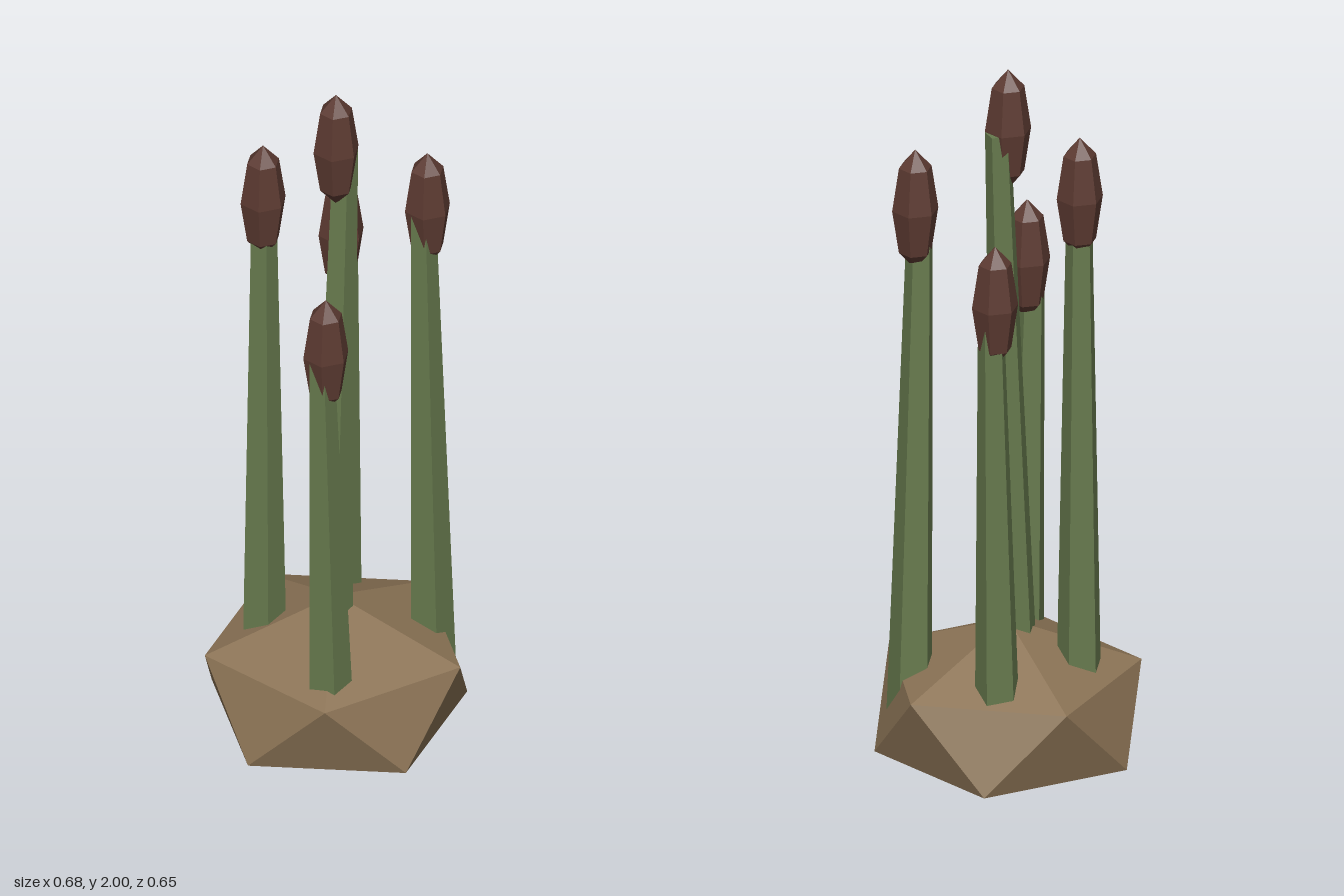
import * as THREE from 'three';

// Faceted normals baked into the geometry
function faceted(geometry) {
  const g = geometry.index ? geometry.toNonIndexed() : geometry;
  g.computeVertexNormals();
  return g;
}

function material(name, color) {
  const m = new THREE.MeshStandardMaterial({ color });
  m.name = name;
  return m;
}

function addMesh(parent, name, geometry, mat) {
  const mesh = new THREE.Mesh(geometry, mat);
  mesh.name = name;
  parent.add(mesh);
  return mesh;
}

export function createModel() {
  const model = new THREE.Group();
  model.name = 'reedClump';
  const earth = material('earthBrown', 0x8b7355);
  const green = material('reedGreen', 0x66794d);
  const brown = material('seedBrown', 0x5c3a31);

  // Mound: icosahedron turned onto a corner and squashed
  const moundGeo = new THREE.IcosahedronGeometry(0.38);
  moundGeo.rotateX(-Math.atan2((1 + Math.sqrt(5)) / 2, 1));
  moundGeo.rotateY(Math.PI / 2);
  moundGeo.scale(1, 0.63, 1);
  addMesh(model, 'mound', faceted(moundGeo), earth).position.y = 0.2395;

  // Seed head: stretched six-sided ball with corners along z
  const headGeo = new THREE.SphereGeometry(0.06, 6, 4);
  headGeo.rotateY(Math.PI / 2);
  headGeo.scale(1, 2.75, 1);
  const headShape = faceted(headGeo);

  // Reeds: x, z, height of head centre, sideways shift of the stalk foot
  const reeds = [
    [0, 0, 1.835, -0.034],
    [-0.102, -0.155, 1.665, 0],
    [0.17, -0.13, 1.44, -0.013],
    [-0.196, 0.135, 1.37, 0.019],
    [0.187, 0.143, 1.625, 0.019],
  ];
  const foot = 0.18;
  for (const [x, z, top, shift] of reeds) {
    const reed = new THREE.Group();
    reed.name = 'reed';
    reed.position.set(x, 0, z);
    model.add(reed);

    // Five-sided tapered stalk, leaning about its middle
    const length = top - foot;
    const stalkGeo = new THREE.CylinderGeometry(0.034, 0.062, length, 5);
    stalkGeo.rotateY(Math.PI);
    const stalk = addMesh(reed, 'stalk', faceted(stalkGeo), green);
    stalk.position.y = (top + foot) / 2;
    stalk.rotation.z = Math.asin(shift / (length / 2));

    addMesh(reed, 'seedHead', headShape, brown).position.y = top;
  }
  return model;
}
